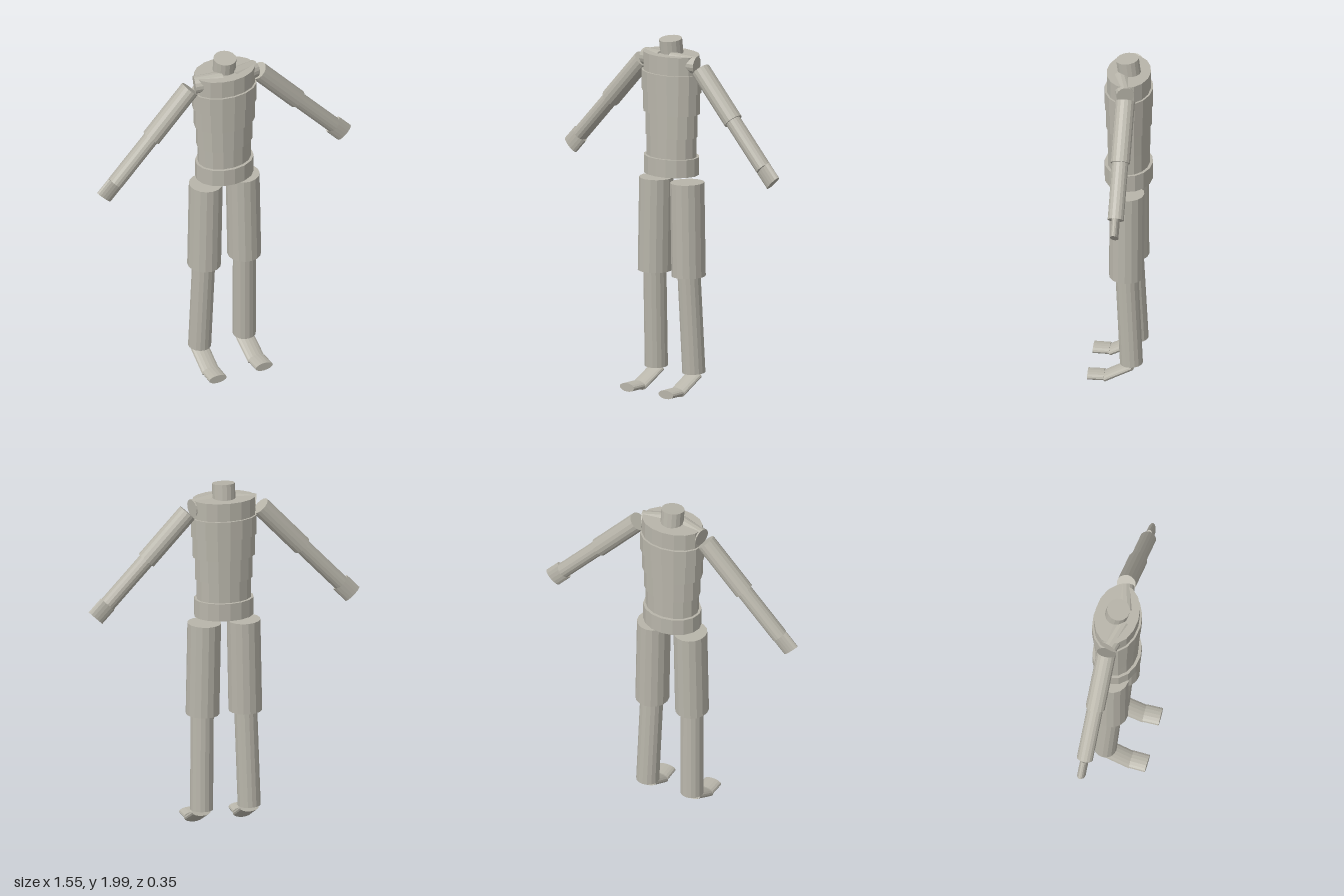
import * as THREE from 'three';

const SIDES = 16;

// Elliptical capped cylinder from a to b; rw is the radius along the sideways axis, rd across it
function segment(name, a, b, rw, rd, material) {
  const start = new THREE.Vector3(...a);
  const end = new THREE.Vector3(...b);
  const dir = end.clone().sub(start);
  const length = dir.length();
  dir.normalize();
  const side = new THREE.Vector3(1, 0, 0);
  side.addScaledVector(dir, -side.dot(dir)).normalize();
  const depth = new THREE.Vector3().crossVectors(side, dir);

  const geometry = new THREE.CylinderGeometry(1, 1, length, SIDES);
  geometry.scale(rw, 1, rd);
  const mesh = new THREE.Mesh(geometry, material);
  mesh.name = name;
  mesh.quaternion.setFromRotationMatrix(new THREE.Matrix4().makeBasis(side, dir, depth));
  mesh.position.copy(start).add(end).multiplyScalar(0.5);
  return mesh;
}

export function createModel() {
  const model = new THREE.Group();
  model.name = 'mannequin';
  const clay = new THREE.MeshStandardMaterial({ color: 0xb8b5aa, flatShading: true });
  clay.name = 'warm grey';

  // Torso: stacked oval drums [name, bottom, top, half width, half depth]
  const torso = new THREE.Group();
  torso.name = 'torso';
  const drums = [
    ['hips', 1.235, 1.335, 0.168, 0.134],
    ['waist', 1.335, 1.45, 0.154, 0.117],
    ['abdomen', 1.45, 1.58, 0.164, 0.119],
    ['ribs', 1.58, 1.7, 0.178, 0.127],
    ['chest', 1.7, 1.81, 0.188, 0.134],
    ['upperChest', 1.81, 1.913, 0.178, 0.122],
  ];
  for (const [name, y0, y1, rw, rd] of drums) {
    torso.add(segment(name, [0, y0, -0.036], [0, y1, -0.036], rw, rd, clay));
  }
  model.add(torso);

  // Neck leans slightly forward
  model.add(segment('neck', [0, 1.9, -0.04], [0, 1.993, -0.028], 0.064, 0.064, clay));

  // Arms and legs, mirrored: [name, start, end, half width, half depth]
  const limbs = {
    Arm: [
      ['shoulder', [0.03, 1.878, 0.005], [0.183, 1.866, -0.037], 0.05, 0.05],
      ['upperArm', [0.209, 1.844, -0.04], [0.447, 1.59, -0.04], 0.054, 0.054],
      ['forearm', [0.447, 1.59, -0.04], [0.668, 1.356, -0.04], 0.044, 0.045],
      ['hand', [0.668, 1.356, -0.04], [0.738, 1.282, -0.04], 0.054, 0.023],
    ],
    Leg: [
      ['thigh', [0.113, 1.196, -0.038], [0.123, 0.67, -0.038], 0.093, 0.097],
      ['shin', [0.125, 0.67, -0.04], [0.137, 0.122, -0.066], 0.064, 0.064],
      ['foot', [0.137, 0.108, -0.07], [0.14, 0.027, 0.083], 0.053, 0.023],
      ['toes', [0.14, 0.036, 0.083], [0.142, 0.036, 0.175], 0.053, 0.024],
    ],
  };
  for (const [side, s] of [['left', 1], ['right', -1]]) {
    for (const [limb, parts] of Object.entries(limbs)) {
      const group = new THREE.Group();
      group.name = side + limb;
      for (const [name, a, b, rw, rd] of parts) {
        group.add(segment(name, [s * a[0], a[1], a[2]], [s * b[0], b[1], b[2]], rw, rd, clay));
      }
      model.add(group);
    }
  }
  return model;
}
